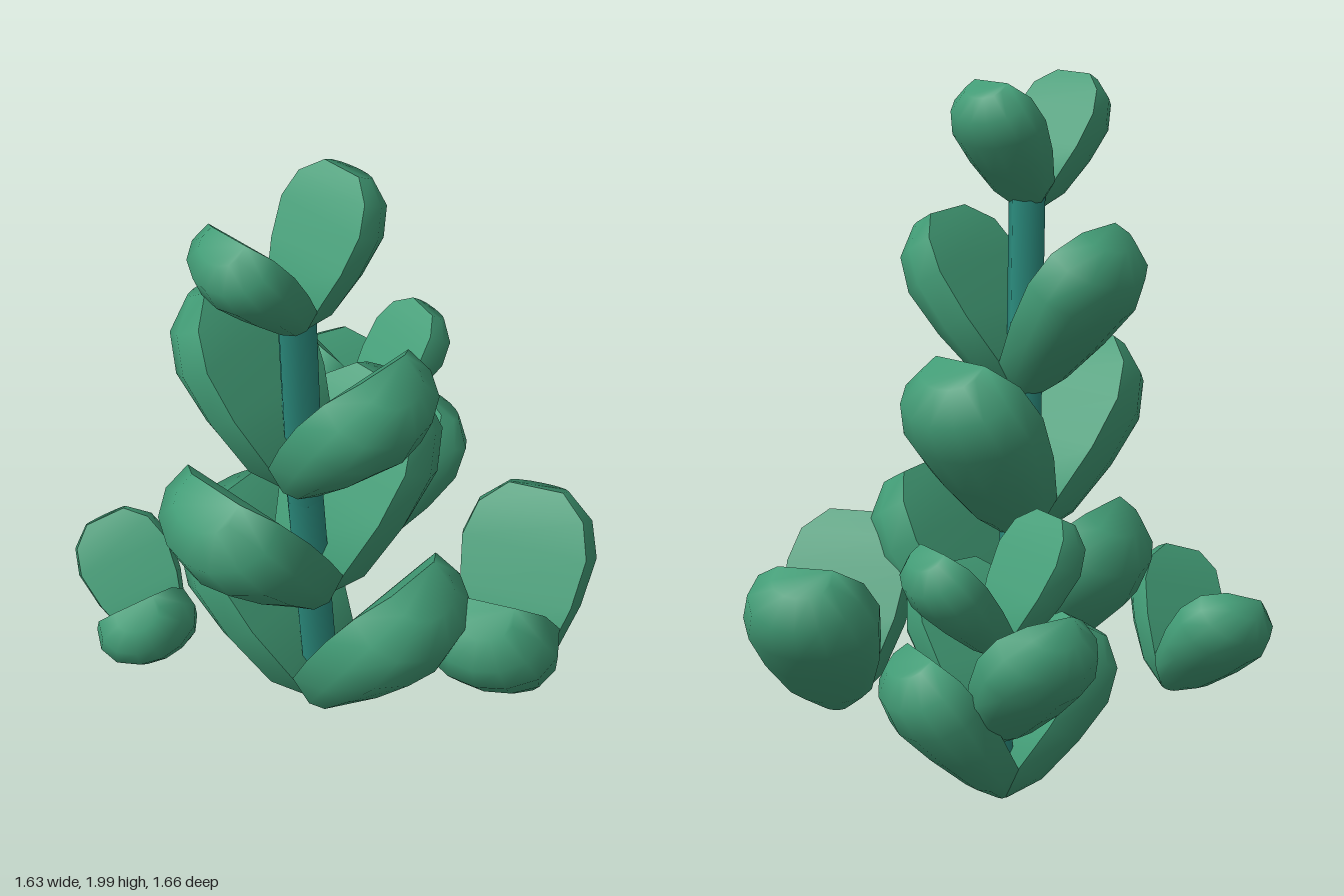
import * as THREE from 'three';
import { toCreasedNormals } from 'three/addons/utils/BufferGeometryUtils.js';

const leafMaterial = new THREE.MeshStandardMaterial({ color: 0x429c76 });
const stemMaterial = new THREE.MeshStandardMaterial({ color: 0x2a8a7c });

// Unit leaf along +y: flat inner face towards -z, rounded back towards +z.
// Rows: height, half width, back bulge, inner depth
const ROWS = [
  [0, 0.07, 0.03, 0.03],
  [0.18, 0.225, 0.12, 0.115],
  [0.45, 0.31, 0.2, 0.12],
  [0.7, 0.345, 0.255, 0.12],
  [0.88, 0.29, 0.23, 0.11],
  [1, 0.15, 0.11, 0.08],
];
// Half circle of the back, from one rim to the other (fractions of width and bulge)
const BACK = [[1, 0.08], [0.82, 0.58], [0.42, 0.9], [0, 1], [-0.42, 0.9], [-0.82, 0.58], [-1, 0.08]];

function leafGeometry() {
  const points = [];
  const index = [];
  for (const [y, w, d, c] of ROWS) {
    points.push(0.92 * w, y, -c);
    for (const [u, v] of BACK) points.push(u * w, y, v * d);
    points.push(-0.92 * w, y, -c);
  }
  const n = BACK.length + 2;
  const last = (ROWS.length - 1) * n;
  for (let r = 0; r < ROWS.length - 1; r++) {
    for (let i = 0; i < n; i++) {
      const a = r * n + i;
      const b = r * n + ((i + 1) % n);
      index.push(a, a + n, b, b, a + n, b + n);
    }
  }
  // Base and tip caps
  for (let i = 1; i < n - 1; i++) {
    index.push(0, i, i + 1, last, last + i + 1, last + i);
  }
  const geometry = new THREE.BufferGeometry();
  geometry.setAttribute('position', new THREE.Float32BufferAttribute(points, 3));
  geometry.setIndex(index);
  return toCreasedNormals(geometry, 1.0);
}

// Two opposite leaves; heading and tilts in degrees, tilts measured from upright
function leafPair(geometry, name, base, size, heading, tilts) {
  const pair = new THREE.Group();
  pair.name = name;
  pair.position.set(...base);
  tilts.forEach((tilt, i) => {
    const leaf = new THREE.Mesh(geometry, leafMaterial);
    leaf.name = i ? 'oppositeLeaf' : 'leaf';
    leaf.scale.setScalar(size);
    leaf.rotation.order = 'YXZ';
    leaf.rotation.y = THREE.MathUtils.degToRad(heading + 180 * i);
    leaf.rotation.x = THREE.MathUtils.degToRad(tilt);
    pair.add(leaf);
  });
  return pair;
}

// Six-sided stem piece between two points
function stemPiece(from, to, r0, r1) {
  const a = new THREE.Vector3(...from);
  const b = new THREE.Vector3(...to);
  const dir = b.clone().sub(a);
  const geometry = new THREE.CylinderGeometry(r1, r0, dir.length(), 6);
  const stem = new THREE.Mesh(geometry, stemMaterial);
  stem.name = 'stem';
  stem.position.copy(a).add(b).multiplyScalar(0.5);
  stem.quaternion.setFromUnitVectors(new THREE.Vector3(0, 1, 0), dir.normalize());
  return stem;
}

export function createModel() {
  const model = new THREE.Group();
  model.name = 'succulentPlant';
  const leaf = leafGeometry();

  // Tall plant: four crossed pairs up a slightly leaning stem
  const tall = new THREE.Group();
  tall.name = 'tallPlant';
  tall.add(
    leafPair(leaf, 'bottomPair', [-0.06, 0.07, 0.35], 0.725, 45, [32, 34]),
    leafPair(leaf, 'secondPair', [-0.105, 0.52, 0.385], 0.705, 130, [29, 36]),
    leafPair(leaf, 'thirdPair', [-0.135, 0.97, 0.435], 0.645, 42, [33, 30]),
    leafPair(leaf, 'topPair', [-0.155, 1.565, 0.485], 0.465, 130, [28, 34]),
    stemPiece([-0.07, 0.12, 0.35], [-0.12, 0.9, 0.395], 0.06, 0.06),
    stemPiece([-0.12, 0.9, 0.395], [-0.145, 1.64, 0.46], 0.06, 0.06),
  );

  // Short plant at the back: three crossed pairs
  const back = new THREE.Group();
  back.name = 'backPlant';
  back.add(
    leafPair(leaf, 'bottomPair', [0.125, 0.01, -0.435], 0.56, 108, [32, 32]),
    leafPair(leaf, 'middlePair', [0.135, 0.2, -0.47], 0.535, 20, [32, 36]),
    leafPair(leaf, 'topPair', [0.14, 0.475, -0.495], 0.43, 115, [36, 30]),
    stemPiece([0.125, 0.05, -0.435], [0.14, 0.54, -0.49], 0.045, 0.04),
  );

  // Single pair on the left side
  const side = leafPair(leaf, 'sidePair', [0.515, 0.015, 0.3], 0.63, 156, [31, 31]);

  // Small pair on the right side, leaning outwards
  const small = leafPair(leaf, 'smallPair', [-0.54, 0.07, 0.105], 0.46, 10, [35, 32]);
  small.rotation.z = 0.35;

  model.add(tall, back, side, small);
  return model;
}
